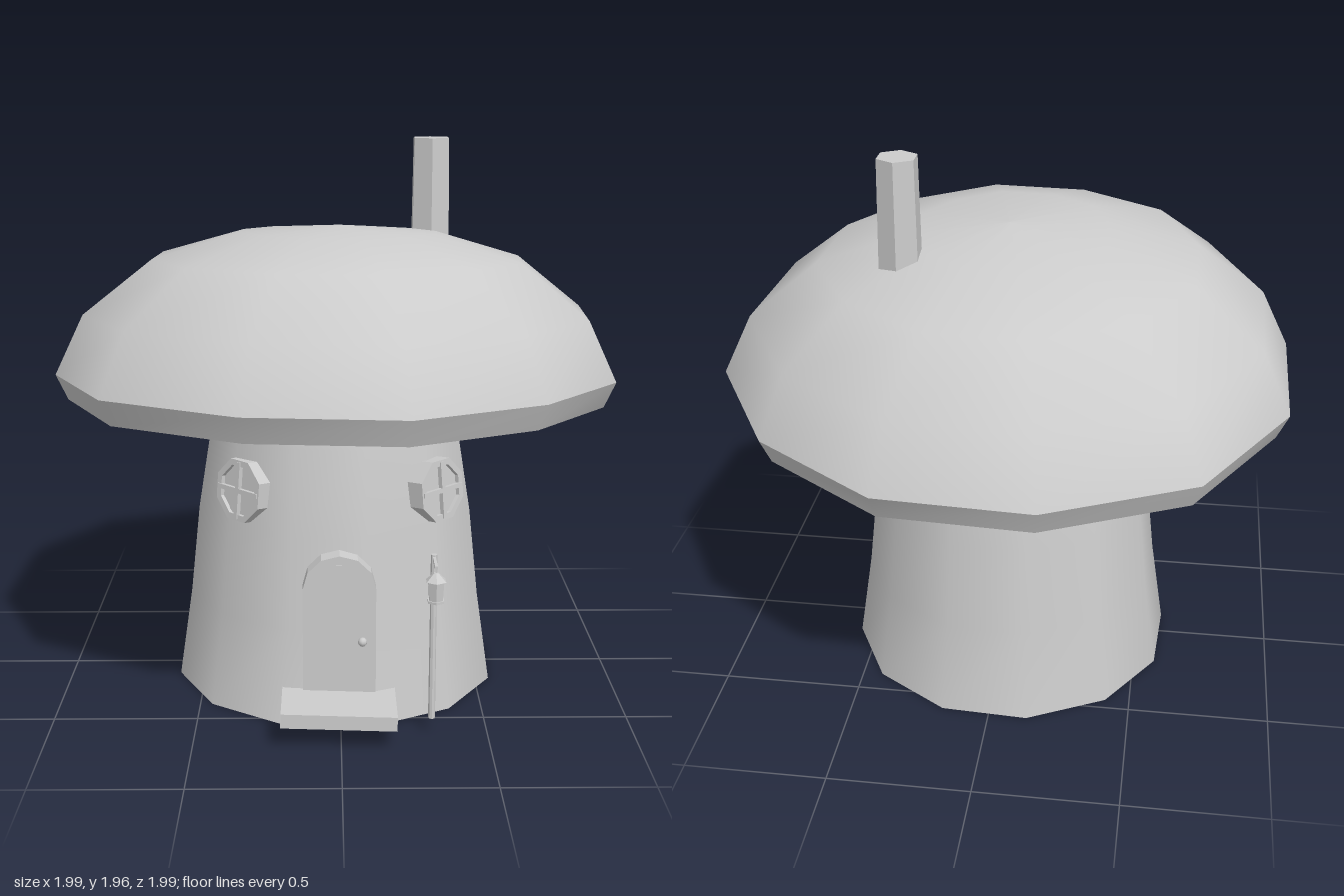
import * as THREE from 'three';

const plaster = new THREE.MeshStandardMaterial({ color: 0xcccccc, side: THREE.DoubleSide });
plaster.name = 'pale grey';

function add(parent, name, geometry, x = 0, y = 0, z = 0) {
  const mesh = new THREE.Mesh(geometry, plaster);
  mesh.name = name;
  mesh.position.set(x, y, z);
  parent.add(mesh);
  return mesh;
}

function flat(geometry) {
  const g = geometry.index ? geometry.toNonIndexed() : geometry;
  g.computeVertexNormals();
  return g;
}

const box = (w, h, d) => new THREE.BoxGeometry(w, h, d);
const prism = (top, bottom, height, sides) => flat(new THREE.CylinderGeometry(top, bottom, height, sides));

// Smooth skin over twelve-sided rings given as [radius, height]
const SIDES = 12;
function loft(rings, wobble, tiltX = 0, tiltZ = 0) {
  const pos = [], index = [];
  rings.forEach(([r, y], j) => {
    for (let i = 0; i < SIDES; i++) {
      const a = THREE.MathUtils.degToRad(18 + 30 * i);
      const x = r * wobble[i] * Math.cos(a), z = r * wobble[i] * Math.sin(a);
      pos.push(x, y + tiltX * x + tiltZ * z, z);
      if (j < rings.length - 1) {
        const p = j * SIDES + i, n = j * SIDES + (i + 1) % SIDES;
        index.push(p, p + SIDES, n, n, p + SIDES, n + SIDES);
      }
    }
  });
  const g = new THREE.BufferGeometry();
  g.setAttribute('position', new THREE.Float32BufferAttribute(pos, 3));
  g.setIndex(index);
  g.computeVertexNormals();
  return g;
}

// Tilted mushroom roof: dome, lip and hollow underside
function buildCap() {
  const cap = new THREE.Group();
  cap.name = 'cap';
  const wobble = [1, 0.977, 1.018, 1.01, 1.036, 1.016, 1.04, 1.056, 1.02, 1.012, 1, 1.02];
  const tilt = [wobble, -0.008, 0.05];
  add(cap, 'capDome', loft([[1, 1.15], [0.9, 1.36], [0.66, 1.55], [0.35, 1.642], [0, 1.667]], ...tilt));
  add(cap, 'capLip', loft([[0.96, 1.06], [1, 1.15]], ...tilt));
  add(cap, 'capUnderside', loft([[0.3, 1.21], [0.41, 1.17], [0.7, 1.1], [0.96, 1.06]], ...tilt));
  return cap;
}

// Arched door with centre strip and knob
function buildDoor() {
  const door = new THREE.Group();
  door.name = 'door';
  const s = new THREE.Shape();
  s.moveTo(-0.125, 0.09);
  s.lineTo(0.125, 0.09);
  s.lineTo(0.125, 0.495);
  s.absellipse(0, 0.495, 0.125, 0.12, 0, Math.PI, false);
  s.closePath();
  const panel = new THREE.ExtrudeGeometry(s, { depth: 0.13, bevelEnabled: false, curveSegments: 3 });
  add(door, 'doorPanel', panel, -0.005, 0, 0.42);
  add(door, 'doorStrip', box(0.02, 0.455, 0.008), -0.007, 0.357, 0.552);
  add(door, 'doorKnob', new THREE.SphereGeometry(0.016, 8, 6), 0.074, 0.31, 0.56);
  return door;
}

// Octagonal window facing diagonally outward
function buildWindow(side) {
  const win = new THREE.Group();
  win.name = side > 0 ? 'leftWindow' : 'rightWindow';
  const octagon = (shape, r) => {
    const pts = [];
    for (let i = 0; i < 8; i++) {
      const a = (i + 0.5) * Math.PI / 4;
      pts.push(new THREE.Vector2(r * Math.cos(a), r * Math.sin(a)));
    }
    return shape.setFromPoints(pts);
  };
  const rim = octagon(new THREE.Shape(), 0.115);
  rim.holes.push(octagon(new THREE.Path(), 0.092));
  add(win, 'windowFrame', new THREE.ExtrudeGeometry(rim, { depth: 0.09, bevelEnabled: false }), 0, 0, -0.06);
  add(win, 'windowPane', new THREE.ShapeGeometry(octagon(new THREE.Shape(), 0.1)), 0, 0, 0.015);
  add(win, 'windowBar', box(0.2, 0.016, 0.016), 0, 0, 0.027);
  add(win, 'windowBar', box(0.016, 0.2, 0.016), 0, 0, 0.027);
  win.position.set(side * 0.335, 0.785, 0.335);
  win.rotation.set(-0.1, side * Math.PI / 4, 0, 'YXZ');
  return win;
}

// Post with an arm and a hanging lantern
function buildLamp() {
  const lamp = new THREE.Group();
  lamp.name = 'lampPost';
  add(lamp, 'post', prism(0.011, 0.012, 0.59, 8), 0, 0.345, 0);
  add(lamp, 'arm', box(0.01, 0.01, 0.11), 0, 0.63, 0.05);
  add(lamp, 'hook', box(0.006, 0.02, 0.006), 0, 0.618, 0.1);
  add(lamp, 'lanternRoof', prism(0.008, 0.037, 0.028, 6), 0, 0.598, 0.1);
  add(lamp, 'lanternBody', prism(0.03, 0.025, 0.075, 6), 0, 0.55, 0.1);
  add(lamp, 'lanternBase', prism(0.03, 0.03, 0.008, 6), 0, 0.514, 0.1);
  lamp.position.set(0.31, 0, 0.602);
  return lamp;
}

export function createModel() {
  const house = new THREE.Group();
  house.name = 'mushroomHouse';

  // Open-bottomed stem
  const even = new Array(SIDES).fill(1);
  const stemRings = [[0.595, 0], [0.545, 0.33], [0.51, 0.65], [0.46, 0.95], [0.425, 1.1], [0.37, 1.22]];
  add(house, 'stem', loft(stemRings, even), -0.014, 0, -0.014);

  house.add(buildCap(), buildDoor(), buildWindow(1), buildWindow(-1), buildLamp());

  // Slightly crooked doorstep
  const step = add(house, 'doorstep', box(0.39, 0.05, 0.3), -0.008, 0.1, 0.595);
  step.rotation.z = -0.035;

  add(house, 'chimney', prism(0.072, 0.078, 0.4, 6), 0.34, 1.76, -0.237);
  return house;
}
